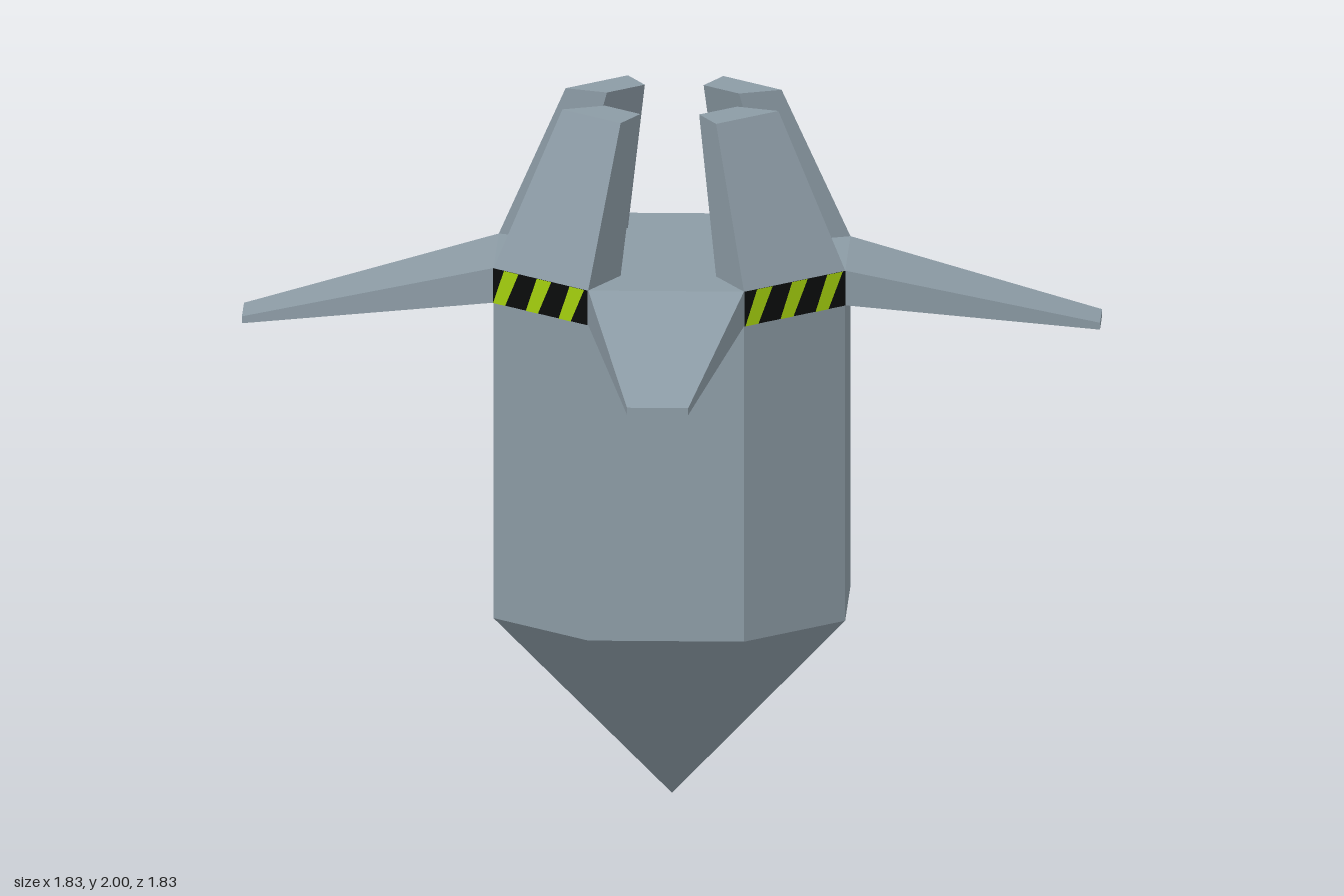
import * as THREE from 'three';
import { ConvexGeometry } from 'three/addons/geometries/ConvexGeometry.js';

const R = 0.505; // distance from the axis to the main sides
const W = 0.195; // half width of the main sides
const SHOULDER = 1.56;
const BAND = 1.46;

const material = (name, color) => {
  const m = new THREE.MeshStandardMaterial({ color });
  m.name = name;
  return m;
};

// Octagon with four-fold symmetry at one height
function octagon(y) {
  const pts = [];
  for (const s of [-1, 1]) {
    for (const t of [-1, 1]) pts.push([s * W, y, t * R], [s * R, y, t * W]);
  }
  return pts;
}

// Both mirror halves of a list of points
const mirrored = (pts) => pts.flatMap(([x, y, z]) => [[x, y, z], [-x, y, z]]);

// Flat-faced solid through its corner points
const solid = (pts) => new ConvexGeometry(pts.map((p) => new THREE.Vector3(...p)));

const flatPanel = (corners) =>
  new THREE.ShapeGeometry(new THREE.Shape(corners.map((c) => new THREE.Vector2(...c))));

export function createModel() {
  const model = new THREE.Group();
  model.name = 'finnedPod';
  const steel = material('blueGreySteel', 0x8c9ba5);
  const black = material('warningBlack', 0x0b0c0c);
  const lime = material('warningLime', 0xa6d20e);

  const add = (parent, name, geometry, mat) => {
    const mesh = new THREE.Mesh(geometry, mat);
    mesh.name = name;
    parent.add(mesh);
    return mesh;
  };

  // Eight-sided body and pointed base
  add(model, 'body', solid([...octagon(0.55), ...octagon(SHOULDER)]), steel);
  add(model, 'pointedBase', solid([...octagon(0.55), [0, 0, 0]]), steel);

  // Upright prong, leaning inward over a main side
  const prong = solid(mirrored([
    [W, SHOULDER, R], [0.12, SHOULDER, 0.31],
    [0.12, 2, 0.31], [0.073, 2, 0.19],
  ]));

  // Drooping fin growing from a corner side
  const fin = solid([
    [W, SHOULDER, R], [R, SHOULDER, W], [W, BAND, R], [R, BAND, W],
    [0.793, 1.385, 0.915], [0.915, 1.385, 0.793],
    [0.793, 1.365, 0.915], [0.915, 1.365, 0.793],
  ]);

  // Warning band and its slanted stripes
  const band = flatPanel([[-W, BAND], [W, BAND], [W, SHOULDER], [-W, SHOULDER]]);
  const stripes = [-0.193, -0.058, 0.077].map((x) =>
    flatPanel([[x, BAND], [x + 0.05, BAND], [x + 0.105, SHOULDER], [x + 0.045, SHOULDER]]));

  for (let i = 0; i < 4; i++) {
    const side = new THREE.Group();
    side.name = `side${i + 1}`;
    side.rotation.y = (i * Math.PI) / 2;
    model.add(side);
    add(side, 'prong', prong, steel);
    add(side, 'fin', fin, steel);
    add(side, 'warningBand', band, black).position.z = R + 0.002;
    for (const s of stripes) add(side, 'warningStripe', s, lime).position.z = R + 0.004;
  }
  return model;
}
